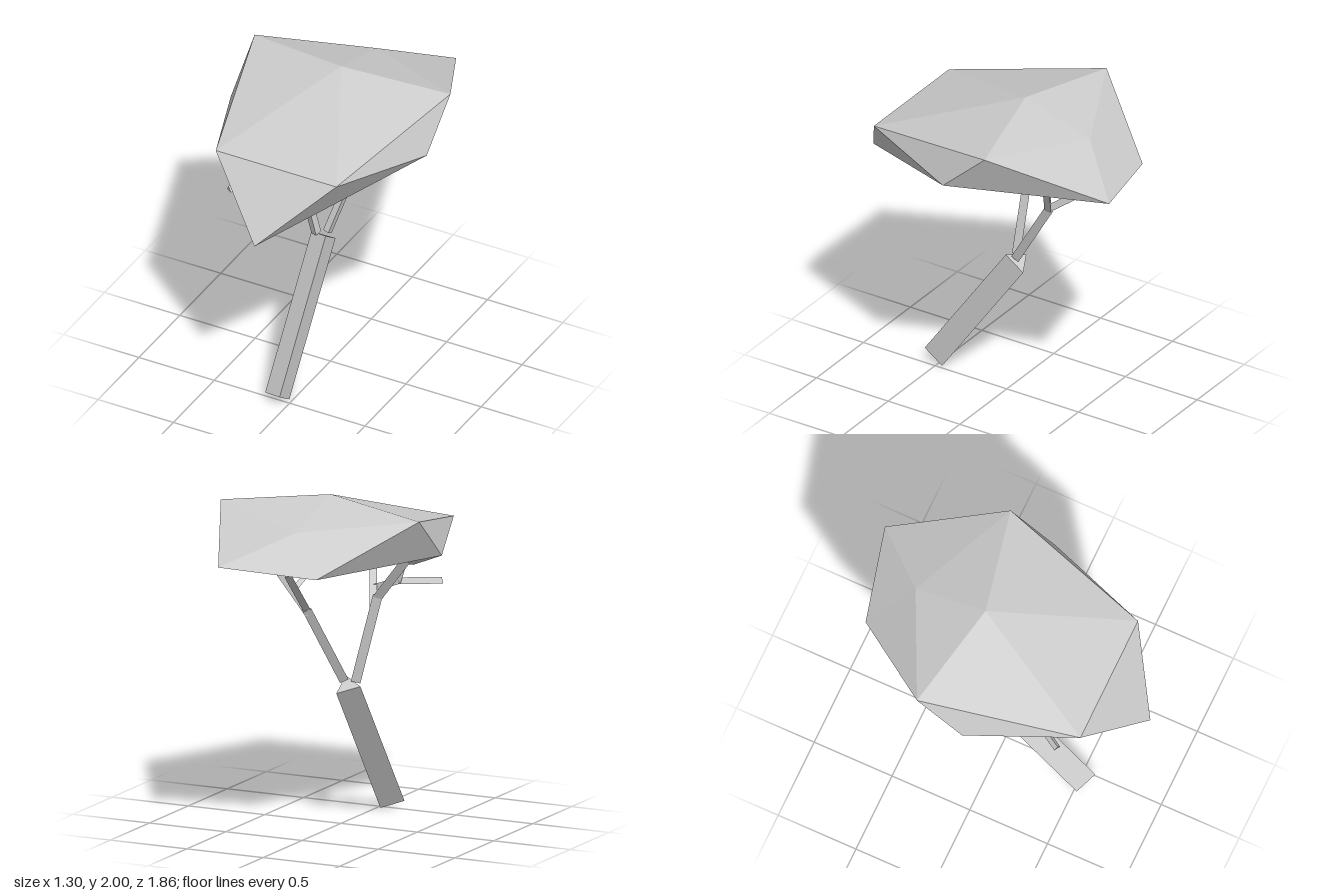
import * as THREE from 'three';

const material = new THREE.MeshStandardMaterial({ color: 0xcccccc, flatShading: true });

// Three-sided prism running from one point to another
function limb(name, from, to, radius) {
  const a = new THREE.Vector3(...from);
  const b = new THREE.Vector3(...to);
  const dir = b.clone().sub(a);
  const geometry = new THREE.CylinderGeometry(radius, radius, dir.length(), 3, 1, false, -Math.PI / 2);
  const mesh = new THREE.Mesh(geometry, material);
  mesh.position.copy(a).add(b).multiplyScalar(0.5);
  mesh.quaternion.setFromUnitVectors(new THREE.Vector3(0, 1, 0), dir.normalize());
  mesh.name = name;
  return mesh;
}

// Faceted crown
function crown() {
  const points = [
    [0, 1.36, 0.93],                             // 0 front tip
    [0.4, 1.75, 0.665], [-0.4, 1.75, 0.665],     // 1, 2 brow
    [0.65, 1.93, -0.27], [-0.65, 1.93, -0.27],   // 3, 4 shoulders
    [0.65, 1.67, 0.02], [-0.65, 1.67, 0.02],     // 5, 6 lower sides
    [0, 2, -0.13], [0, 1.86, -0.58],             // 7 peak, 8 rear ridge
    [0.33, 1.69, -0.93], [-0.24, 1.645, -0.79],  // 9, 10 rear corners
    [0, 1.61, -0.1],                             // 11 underside
  ];
  const faces = [
    7, 2, 1, 7, 1, 3, 7, 3, 8, 7, 8, 4, 7, 4, 2,            // around the peak
    8, 3, 9, 8, 9, 10, 8, 10, 4,                            // rear slope
    2, 0, 1, 1, 0, 5, 2, 6, 0,                              // front
    1, 5, 3, 2, 4, 6, 3, 5, 9, 4, 10, 6,                    // sides
    11, 5, 0, 11, 9, 5, 11, 10, 9, 11, 6, 10, 11, 0, 6,     // underside
  ];
  const indexed = new THREE.BufferGeometry();
  indexed.setAttribute('position', new THREE.Float32BufferAttribute(points.flat(), 3));
  indexed.setIndex(faces);
  const geometry = indexed.toNonIndexed();
  geometry.computeVertexNormals();
  const mesh = new THREE.Mesh(geometry, material);
  mesh.name = 'crown';
  return mesh;
}

export function createModel() {
  const tree = new THREE.Group();
  tree.name = 'tree';
  tree.add(crown());

  // Leaning trunk
  tree.add(limb('trunk', [-0.063, 0.045, 0.525], [-0.063, 0.845, -0.04], 0.085));

  // Forked limbs, thinning towards the twigs
  const limbs = [
    ['rightBranch', [-0.1, 0.865, -0.01], [-0.245, 1.4, -0.01], 0.033],
    ['rightUpperBranch', [-0.24, 1.385, -0.01], [-0.45, 1.64, -0.05], 0.032],
    ['forwardBranch', [-0.21, 1.295, 0], [0, 1.52, 0.41], 0.025],
    ['forwardSideBranch', [-0.1, 1.385, 0.19], [-0.25, 1.435, 0.25], 0.024],
    ['forwardTwig', [-0.24, 1.425, 0.25], [-0.395, 1.39, 0.515], 0.024],
    ['forwardUpperTwig', [-0.24, 1.42, 0.25], [-0.29, 1.56, 0.24], 0.023],
    ['rearBranch', [-0.04, 0.875, -0.04], [0.05, 1.35, -0.34], 0.031],
    ['rearLeftBranch', [0.045, 1.32, -0.325], [0.235, 1.64, -0.43], 0.027],
    ['rearLongBranch', [0.05, 1.35, -0.34], [-0.03, 1.645, -0.74], 0.025],
    ['rearTwig', [0.01, 1.53, -0.56], [-0.04, 1.63, -0.45], 0.018],
    ['leftTwig', [0.23, 1.62, -0.425], [0.28, 1.645, -0.37], 0.018],
    ['rightTwig', [0.23, 1.62, -0.425], [0.205, 1.645, -0.48], 0.018],
  ];
  for (const spec of limbs) tree.add(limb(...spec));
  return tree;
}
